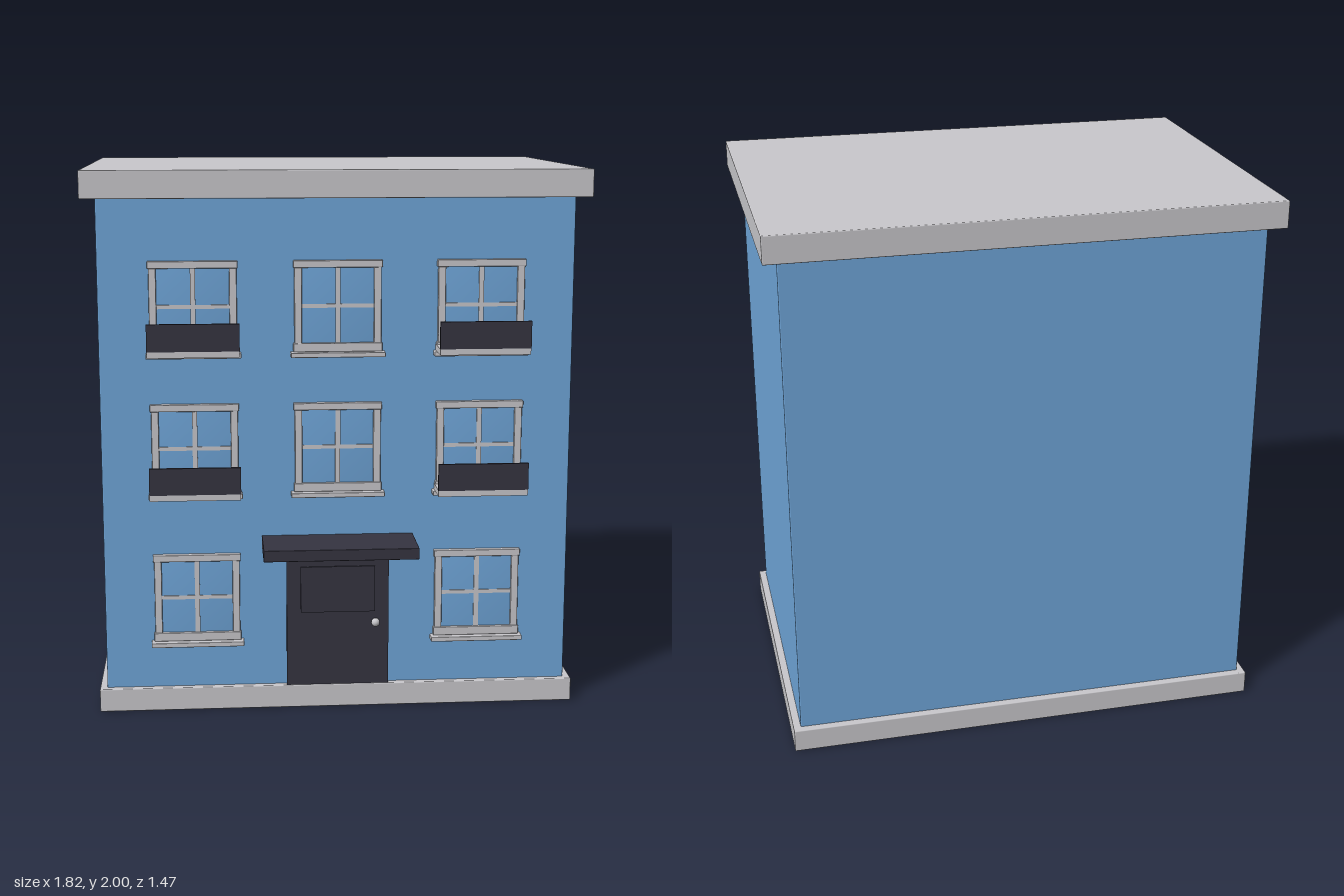
import * as THREE from 'three';
import { RoundedBoxGeometry } from 'three/addons/geometries/RoundedBoxGeometry.js';
import { mergeVertices } from 'three/addons/utils/BufferGeometryUtils.js';

function material(name, color) {
  const m = new THREE.MeshStandardMaterial({ color });
  m.name = name;
  return m;
}

export function createModel() {
  const house = new THREE.Group();
  house.name = 'townhouse';
  const blue = material('wall blue', 0x6fa5d8);
  const stone = material('pale stone', 0xc8c7cb);
  const dark = material('dark paint', 0x353440);

  // Block given by its extents; a bevel softens its edges
  function block(parent, name, mat, [x0, x1], [y0, y1], [z0, z1], bevel = 0) {
    const size = [x1 - x0, y1 - y0, z1 - z0];
    const geo = bevel ? new RoundedBoxGeometry(...size, 2, bevel) : new THREE.BoxGeometry(...size);
    const mesh = new THREE.Mesh(geo, mat);
    mesh.name = name;
    mesh.position.set((x0 + x1) / 2, (y0 + y1) / 2, (z0 + z1) / 2);
    parent.add(mesh);
    return mesh;
  }

  // Main masses
  const wall = 0.525;
  block(house, 'walls', blue, [-0.86, 0.86], [0.04, 1.95], [-0.684, wall], 0.005);
  block(house, 'plinth', stone, [-0.887, 0.887], [0, 0.087], [-0.711, 0.548], 0.004);
  block(house, 'roofSlab', stone, [-0.912, 0.912], [1.9, 2], [-0.737, 0.574], 0.004);

  // Pane with softly blended normals
  const paneBox = new THREE.BoxGeometry(0.272, 0.29, 0.008);
  paneBox.deleteAttribute('normal');
  paneBox.deleteAttribute('uv');
  const paneGeo = mergeVertices(paneBox);
  paneGeo.computeVertexNormals();

  // Sash window, its origin at the bottom of the sill on the wall face
  function addWindow(x, y, balcony) {
    const w = new THREE.Group();
    w.name = balcony ? 'balconyWindow' : 'window';
    w.position.set(x, y, wall);
    house.add(w);

    const pane = new THREE.Mesh(paneGeo, blue);
    pane.name = 'pane';
    pane.position.set(0, 0.185, 0.003);
    w.add(pane);

    for (const s of [-1, 1]) {
      const xs = s < 0 ? [-0.157, -0.13] : [0.13, 0.157];
      block(w, 'jamb', stone, xs, [0.03, 0.33], [-0.01, 0.017], 0.003);
    }
    block(w, 'head', stone, [-0.161, 0.161], [0.322, 0.348], [-0.01, 0.02], 0.003);
    block(w, 'bottomRail', stone, [-0.161, 0.161], [0.018, 0.05], [-0.01, 0.02], 0.003);
    block(w, 'sill', stone, [-0.171, 0.171], [0, 0.018], [-0.01, 0.042], 0.003);
    block(w, 'verticalBar', stone, [-0.009, 0.009], [0.05, 0.322], [0, 0.012]);
    block(w, 'crossBar', stone, [-0.13, 0.13], [0.177, 0.191], [0, 0.011]);

    if (balcony) {
      block(w, 'balconyFloor', stone, [-0.163, 0.163], [0.018, 0.04], [0, 0.131]);
      block(w, 'balconyPanel', dark, [-0.164, 0.164], [0.04, 0.138], [0.121, 0.133]);
    }
  }

  for (const y of [1.33, 0.812]) {
    for (const x of [-0.52, 0, 0.52]) addWindow(x, y, x !== 0);
  }
  for (const x of [-0.52, 0.52]) addWindow(x, 0.25, false);

  // Entrance
  const entrance = new THREE.Group();
  entrance.name = 'entrance';
  house.add(entrance);
  block(entrance, 'door', dark, [-0.19, 0.19], [0.087, 0.606], [0.51, 0.545]);
  block(entrance, 'doorPanel', dark, [-0.138, 0.138], [0.37, 0.545], [0.54, 0.551]);
  block(entrance, 'canopy', dark, [-0.28, 0.28], [0.62, 0.662], [0.51, 0.737], 0.003);

  const knob = new THREE.Mesh(new THREE.SphereGeometry(0.016, 20, 14), stone);
  knob.name = 'doorKnob';
  knob.position.set(0.14, 0.33, 0.56);
  entrance.add(knob);

  return house;
}
